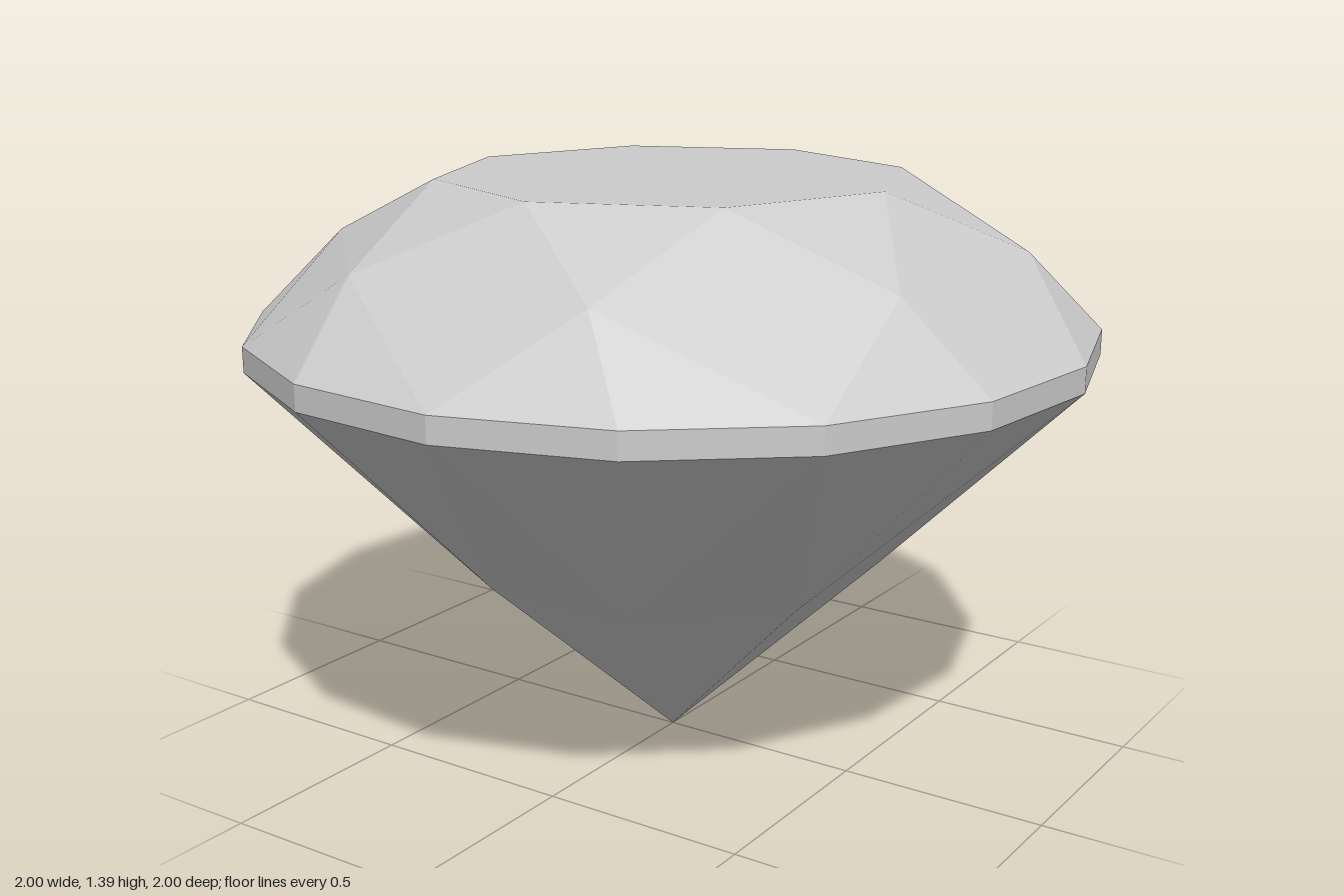
import * as THREE from 'three';

// Point on a horizontal ring: angle in degrees from +x towards +z
function ring(radius, y, offset, step) {
  return (i) => {
    const a = THREE.MathUtils.degToRad(offset + step * i);
    return [radius * Math.cos(a), y, radius * Math.sin(a)];
  };
}

// Flat facets: each polygon is fanned into triangles with unshared corners
function facets(name, polygons, material) {
  const pos = [];
  for (const p of polygons)
    for (let i = 1; i < p.length - 1; i++) pos.push(...p[0], ...p[i], ...p[i + 1]);
  const geo = new THREE.BufferGeometry();
  geo.setAttribute('position', new THREE.Float32BufferAttribute(pos, 3));
  geo.computeVertexNormals();
  const mesh = new THREE.Mesh(geo, material);
  mesh.name = name;
  return mesh;
}

export function createModel() {
  const gem = new THREE.MeshStandardMaterial({ color: 0xcccccc });
  gem.name = 'pale grey gem';

  // Rings of the brilliant cut; the girdle is turned a quarter step
  const girdleRadius = 1 / Math.cos(Math.PI / 32);
  const table = ring(0.555, 1.39, 0, 45);
  const crownMid = ring(0.825, 1.233, 22.5, 45);
  const girdleTop = ring(girdleRadius, 1.04, -5.625, 22.5);
  const girdleBottom = ring(girdleRadius, 0.98, -5.625, 22.5);
  const pavilionMid = ring(0.505, 0.463, 22.5, 45);
  const culet = [0, 0, 0];

  const tableFace = [], crown = [], girdle = [], pavilion = [];
  for (let k = 0; k < 8; k++) {
    const g = 2 * k;
    tableFace.unshift(table(k));
    crown.push(
      [table(k + 1), crownMid(k), table(k)], // star facet
      [crownMid(k), girdleTop(g), crownMid(k - 1), table(k)], // kite facet
      [crownMid(k), girdleTop(g + 2), girdleTop(g + 1)], // upper girdle facets
      [crownMid(k), girdleTop(g + 1), girdleTop(g)],
    );
    pavilion.push(
      [pavilionMid(k), culet, pavilionMid(k - 1), girdleBottom(g)], // main facet
      [pavilionMid(k), girdleBottom(g), girdleBottom(g + 1)], // lower girdle facets
      [pavilionMid(k), girdleBottom(g + 1), girdleBottom(g + 2)],
    );
  }
  for (let j = 0; j < 16; j++)
    girdle.push([girdleTop(j + 1), girdleBottom(j + 1), girdleBottom(j), girdleTop(j)]);

  const model = new THREE.Group();
  model.name = 'cutGem';
  model.add(
    facets('table', [tableFace], gem),
    facets('crown', crown, gem),
    facets('girdle', girdle, gem),
    facets('pavilion', pavilion, gem),
  );
  return model;
}
